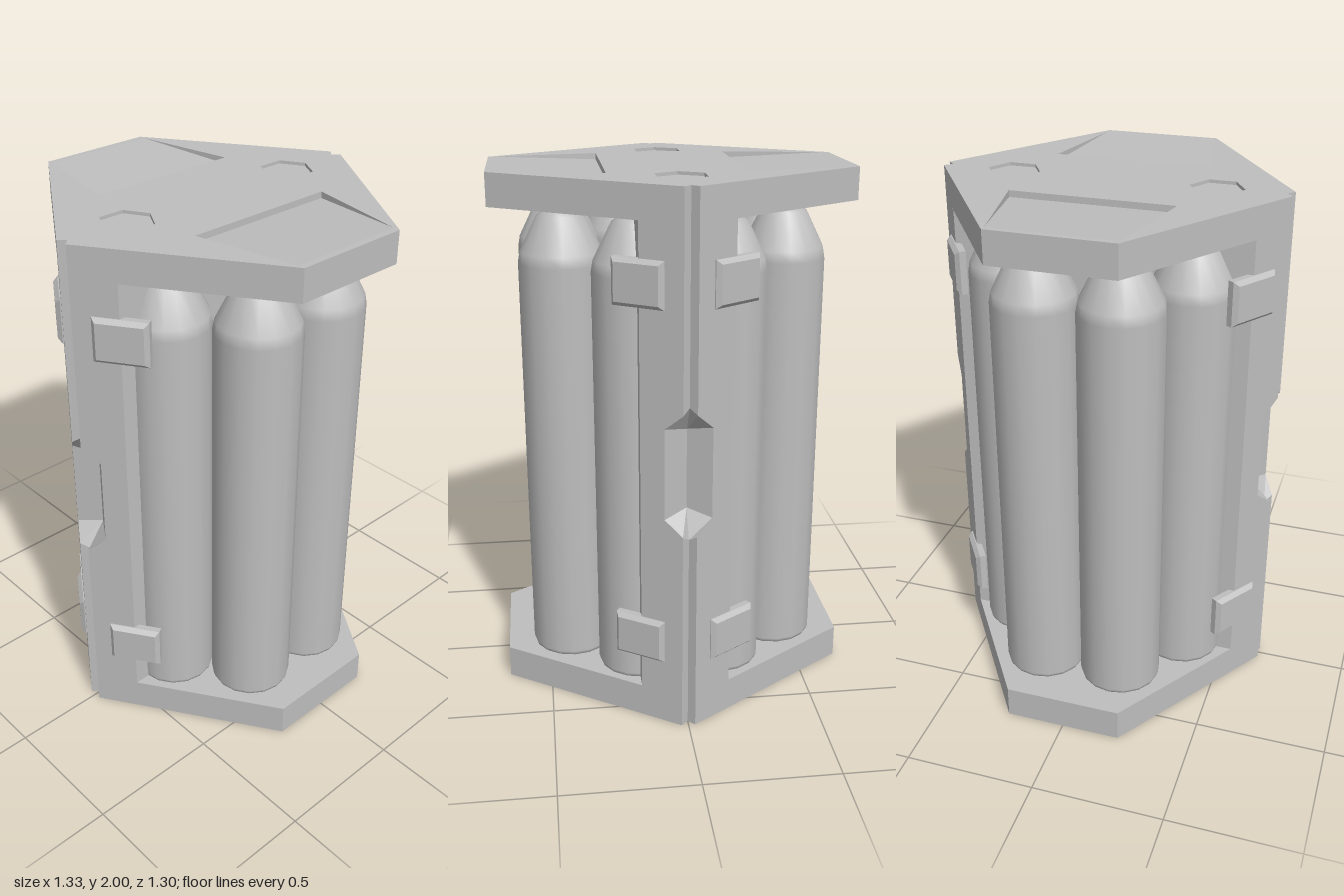
import * as THREE from 'three';

const SLOPE = 0.664;                                   // slant of the four long sides
const faceZ = (x) => 0.65 - (x - 0.025) * SLOPE;       // outer side surface at a given x
const LOW = 0.125, HIGH = 1.88;                        // opening between the two plates

// flat convex polygons, optionally mirrored in x
function facets(polys, sx = 1) {
  const pos = [];
  for (const poly of polys) {
    const p = sx < 0 ? [...poly].reverse() : poly;
    for (let i = 1; i < p.length - 1; i++)
      for (const v of [p[0], p[i], p[i + 1]]) pos.push(v[0] * sx, v[1], v[2]);
  }
  const g = new THREE.BufferGeometry();
  g.setAttribute('position', new THREE.Float32BufferAttribute(pos, 3));
  g.computeVertexNormals();
  return g;
}

// hexagonal outline with a small notch at the front and back corners
function outline() {
  return new THREE.Shape([
    [0.665, -0.225], [0.665, 0.225], [0.025, 0.65], [0, 0.625], [-0.025, 0.65],
    [-0.665, 0.225], [-0.665, -0.225], [-0.025, -0.65], [0, -0.625], [0.025, -0.65],
  ].map(([x, y]) => new THREE.Vector2(x, y)));
}

function plate(shape, y, depth) {
  const g = new THREE.ExtrudeGeometry(shape, { depth, bevelEnabled: false });
  return g.rotateX(-Math.PI / 2).translate(0, y, 0);
}

export function createModel() {
  const model = new THREE.Group();
  model.name = 'shellCarrier';
  const grey = new THREE.MeshStandardMaterial({ color: 0xbebebe });
  grey.name = 'plainGrey';
  const add = (name, geo, parent = model) => {
    const m = new THREE.Mesh(geo, grey);
    m.name = name;
    parent.add(m);
    return m;
  };

  // base and lid
  add('basePlate', plate(outline(), 0, LOW));
  const relief = 0.025;
  add('lidPlate', plate(outline(), HIGH, 0.12 - relief));

  // thin top layer with two sloping side pockets and two hexagonal dimples
  const top = outline();
  for (const s of [-1, 1]) {
    top.holes.push(new THREE.Path([[0.25, -0.3], [0.64, -0.225], [0.64, 0.225], [0.25, 0.3]]
      .map(([x, y]) => new THREE.Vector2(x * s, y))));
    const hex = [];
    for (let i = 0; i < 6; i++) {
      const a = (i * Math.PI) / 3;
      hex.push(new THREE.Vector2(Math.sin(a) * 0.1, s * 0.38 + Math.cos(a) * 0.1));
    }
    top.holes.push(new THREE.Path(hex));
    add('dimpleFloor', new THREE.CylinderGeometry(0.1, 0.1, 0.013, 6)
      .translate(0, 2 - relief + 0.0065, s * 0.38));
    add('pocketRamp', facets([[
      [0.25, 2 - relief + 0.001, -0.3], [0.25, 2 - relief + 0.001, 0.3],
      [0.64, 2, 0.225], [0.64, 2, -0.225],
    ]], s));
  }
  add('lidRelief', plate(top, 2 - relief, relief));

  // central wall running front to back
  add('centreWall', new THREE.BoxGeometry(0.33, HIGH - LOW, 1.08).translate(0, (HIGH + LOW) / 2, 0));

  // shells with tapered tips
  const profile = [[0, 0.12], [0.15, 0.12], [0.157, 0.14], [0.157, 1.67], [0.15, 1.71], [0.085, 1.84], [0.05, 1.86], [0, 1.876]]
    .map(([r, y]) => new THREE.Vector2(r, y));
  const shell = new THREE.LatheGeometry(profile, 16);
  for (const sx of [-1, 1]) for (const sz of [-1, 1])
    for (const [x, z] of [[0.407, 0.157], [0.155, 0.345]])
      add('shell', shell).position.set(x * sx, 0, z * sz);

  // corner points of half a post: outer faces, notch and recess
  const A = [0, 1.25, 0.625], B = [0.025, 1.23, 0.65], C = [0.085, 1.17, faceZ(0.085)];
  const D = [0.085, 0.83, C[2]], E = [0.025, 0.775, 0.65], F = [0, 0.755, 0.625];
  const G = [0, 1.15, 0.555], H = [0, 0.85, 0.555];
  const T = [0.025, HIGH, 0.65], U = [0.165, HIGH, faceZ(0.165)], V = [0.165, LOW, U[2]], W = [0.025, LOW, 0.65];
  const N = [0, HIGH, 0.625], M = [0, LOW, 0.625];
  const side = [V, [0.165, LOW, 0.54], [0.165, HIGH, 0.54], U];
  const panels = [[B, C, U, T], [C, D, V, U], [D, E, W, V], [A, B, T, N], [M, W, E, F], side];
  const recess = [[G, C, B, A], [H, D, C, G], [F, E, D, H]];

  // bevelled lug: a four-sided frustum over a thin block
  const ring = (w, h, z) => [[-w, -h, z], [w, -h, z], [w, h, z], [-w, h, z]];
  const rings = [ring(0.1, 0.083, -0.02), ring(0.1, 0.083, 0.004), ring(0.085, 0.068, 0.02)];
  const lugFaces = [rings[2], [...rings[0]].reverse()];
  for (let k = 0; k < 2; k++) for (let i = 0; i < 4; i++) {
    const j = (i + 1) % 4;
    lugFaces.push([rings[k][i], rings[k][j], rings[k + 1][j], rings[k + 1][i]]);
  }
  const lug = facets(lugFaces);

  // front post, and the same turned round for the back
  for (const turn of [0, Math.PI]) {
    const post = new THREE.Group();
    post.name = turn ? 'backPost' : 'frontPost';
    post.rotation.y = turn;
    model.add(post);
    for (const s of [-1, 1]) {
      add('postFace', facets(panels, s), post);
      add('gripRecess', facets(recess, s), post);
      for (const y of [0.338, 1.672]) {
        const m = add('lug', lug, post);
        m.position.set(0.167 * s, y, faceZ(0.167));
        m.rotation.y = s * Math.atan(SLOPE);
      }
    }
  }
  return model;
}
